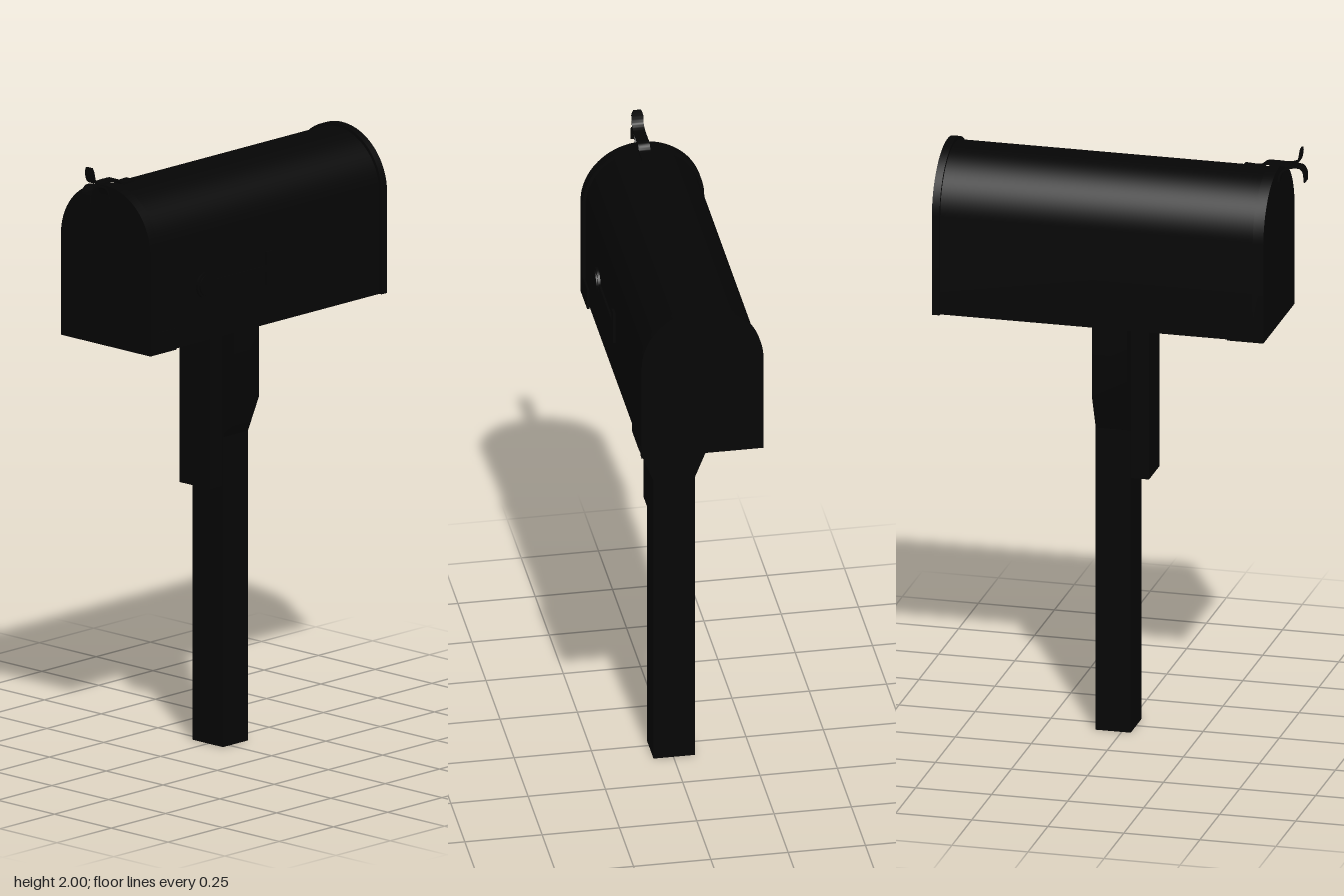
import * as THREE from 'three';
import { toCreasedNormals } from 'three/addons/utils/BufferGeometryUtils.js';

const black = new THREE.MeshStandardMaterial({ color: 0x050505 });
const FLOOR = 1.4, SPRING = 1.73;

export function createModel() {
  const model = new THREE.Group();
  model.name = 'mailbox';

  const add = (name, geometry, x = 0, y = 0, z = 0) => {
    const mesh = new THREE.Mesh(geometry, black);
    mesh.name = name;
    mesh.position.set(x, y, z);
    model.add(mesh);
    return mesh;
  };
  // Box given by its limits on each axis
  const box = (name, x0, x1, y0, y1, z0, z1) =>
    add(name, new THREE.BoxGeometry(x1 - x0, y1 - y0, z1 - z0), (x0 + x1) / 2, (y0 + y1) / 2, (z0 + z1) / 2);
  const extrude = (shape, depth) => toCreasedNormals(
    new THREE.ExtrudeGeometry(shape, { depth, bevelEnabled: false, curveSegments: 24 }), 0.5);

  // Round-topped slab, straight walls under a half circle
  const arch = (name, r, z0, z1) => {
    const s = new THREE.Shape();
    s.moveTo(-r, FLOOR);
    s.lineTo(r, FLOOR);
    s.lineTo(r, SPRING);
    s.absarc(0, SPRING, r, 0, Math.PI, false);
    s.closePath();
    add(name, extrude(s, z1 - z0), 0, 0, z0);
  };
  arch('boxBody', 0.187, -0.57, 0.47);
  arch('backPanel', 0.197, -0.59, -0.565);
  arch('door', 0.197, 0.465, 0.5);

  // Post with the board on its front
  box('post', -0.067, 0.067, 0, FLOOR, -0.085, 0.03);
  box('frontBoard', -0.067, 0.067, 0.86, FLOOR, 0.031, 0.09);

  for (const side of [-1, 1]) {
    // Tapered bracket beside the post
    const s = new THREE.Shape([
      [0.067, 1.02], [0.115, 1.14], [0.115, FLOOR], [0.067, FLOOR],
    ].map(([x, y]) => new THREE.Vector2(side * x, y)));
    add(side > 0 ? 'leftBracket' : 'rightBracket', extrude(s, 0.115), 0, 0, -0.085);
    // Door hinge tab
    const tab = box(side > 0 ? 'leftHingeTab' : 'rightHingeTab', 0.19, 0.197, 1.4, 1.47, 0.38, 0.47);
    tab.position.x *= side;
  }

  // Signal flag: pivot disc, arm and upright plate
  const disc = (name, r, x0, x1) => add(name,
    new THREE.CylinderGeometry(r, r, x1 - x0, 24).rotateZ(Math.PI / 2), (x0 + x1) / 2, 1.585, 0.237);
  disc('flagDisc', 0.043, 0.186, 0.195);
  disc('flagPivot', 0.035, 0.19, 0.2);
  box('flagArm', 0.187, 0.194, 1.575, 1.595, -0.05, 0.22);
  box('flagPlate', 0.187, 0.195, 1.53, 1.64, -0.07, -0.04);

  // Bent metal strip following [z, y] points, extruded across x
  const strip = (name, points, width, thickness = 0.006) => {
    const curve = new THREE.CatmullRomCurve3(
      points.map(([z, y]) => new THREE.Vector3(z, y, 0)), false, 'centripetal');
    const upper = [], lower = [];
    for (let i = 0; i <= 40; i++) {
      const p = curve.getPointAt(i / 40), t = curve.getTangentAt(i / 40);
      const nx = -t.y * thickness / 2, ny = t.x * thickness / 2;
      upper.push(new THREE.Vector2(p.x + nx, p.y + ny));
      lower.unshift(new THREE.Vector2(p.x - nx, p.y - ny));
    }
    const g = extrude(new THREE.Shape([...upper, ...lower]), width);
    g.translate(0, 0, -width / 2);
    g.rotateY(-Math.PI / 2);
    // Narrow the upright tip
    const pos = g.attributes.position;
    for (let i = 0; i < pos.count; i++) {
      const over = Math.max(0, pos.getY(i) - 1.985) / 0.015;
      pos.setX(i, pos.getX(i) * (1 - 0.35 * Math.min(1, over)));
    }
    return add(name, g);
  };
  strip('latchSpring', [[0.385, 1.926], [0.44, 1.926], [0.46, 1.94], [0.49, 1.942], [0.54, 1.943],
    [0.565, 1.955], [0.572, 1.975], [0.575, 2.0]], 0.038);
  strip('doorPull', [[0.503, 1.885], [0.508, 1.91], [0.525, 1.928], [0.55, 1.937], [0.575, 1.936],
    [0.586, 1.92], [0.588, 1.89]], 0.038);

  model.position.x = -0.0025;
  return model;
}
